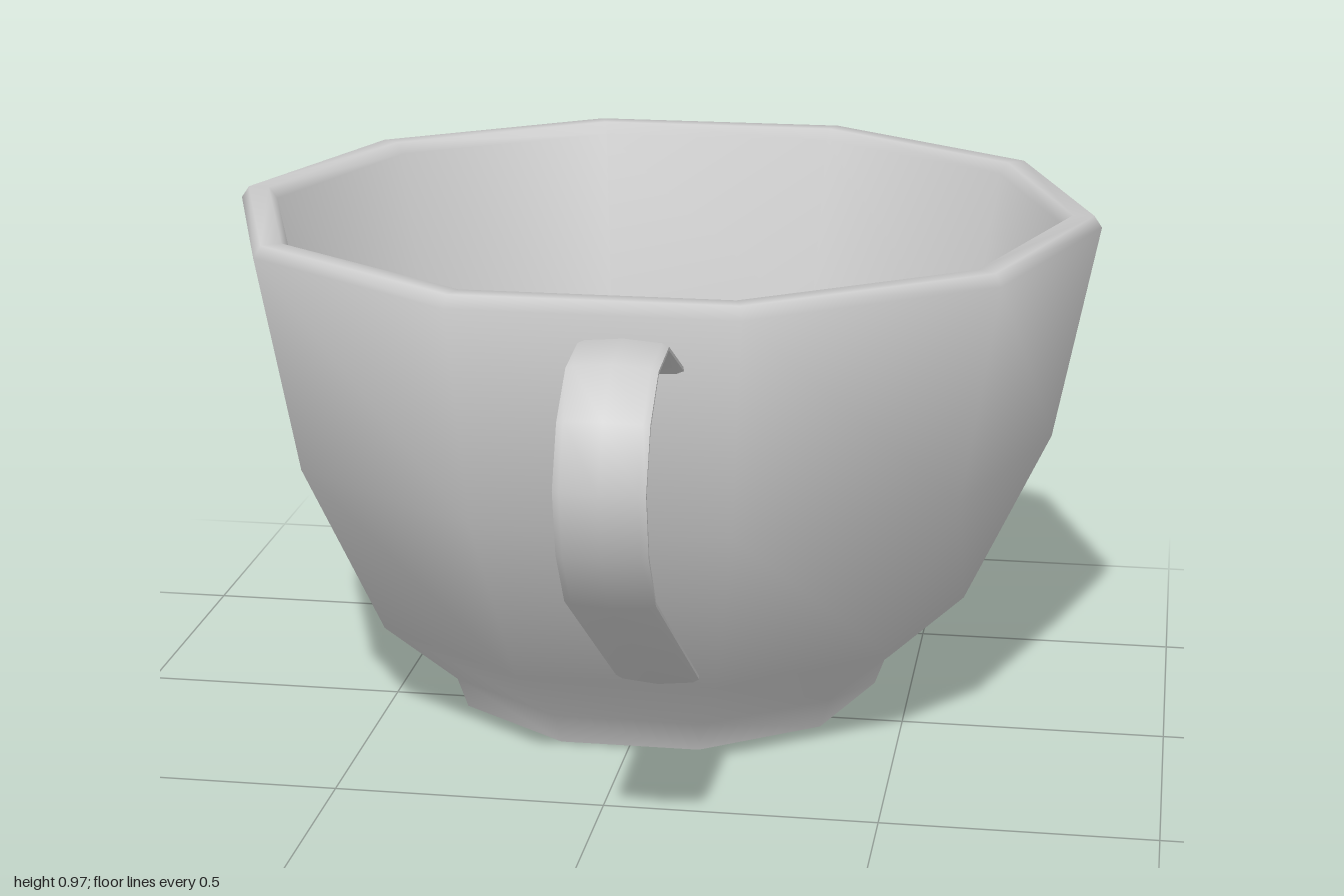
import * as THREE from 'three';
import { toCreasedNormals } from 'three/addons/utils/BufferGeometryUtils.js';

const material = new THREE.MeshStandardMaterial({ color: 0xcccccc });

// Sweep a closed (x, n) section along a (z, y) path with mitred corners.
function sweepRibbon(path, section) {
  const positions = [], index = [], n = section.length;
  const direction = (a, b) => new THREE.Vector2(b[0] - a[0], b[1] - a[1]).normalize();
  path.forEach((p, i) => {
    const before = direction(path[Math.max(i - 1, 0)], path[Math.max(i, 1)]);
    const last = path.length - 1;
    const after = direction(path[Math.min(i, last - 1)], path[Math.min(i + 1, last)]);
    const t = before.clone().add(after).normalize();
    const mitre = 1 / t.dot(before);
    for (const [x, h] of section) {
      positions.push(x, p[1] + t.x * h * mitre, p[0] - t.y * h * mitre);
    }
  });
  for (let i = 0; i < path.length - 1; i++) {
    for (let j = 0; j < n; j++) {
      const a = i * n + j, b = i * n + (j + 1) % n;
      index.push(a, b, a + n, b, b + n, a + n);
    }
  }
  // End caps
  const end = (path.length - 1) * n;
  for (let j = 1; j < n - 1; j++) {
    index.push(0, j + 1, j, end, end + j, end + j + 1);
  }
  const geometry = new THREE.BufferGeometry();
  geometry.setAttribute('position', new THREE.Float32BufferAttribute(positions, 3));
  geometry.setIndex(index);
  return toCreasedNormals(geometry, 0.8);
}

export function createModel() {
  const group = new THREE.Group();

  // Ten-sided bowl: underside, outer wall, bevelled rim, inner wall, floor
  const profile = [
    [0, 0.015], [0.39, 0.015], [0.405, 0], [0.428, 0],
    [0.45, 0.06], [0.6, 0.19], [0.76, 0.53], [0.84, 0.945],
    [0.825, 0.967], [0.785, 0.967], [0.768, 0.945],
    [0.7, 0.55], [0.55, 0.24], [0.4, 0.12], [0, 0.1],
  ].map(([r, y]) => new THREE.Vector2(r, y));
  const lathe = new THREE.LatheGeometry(profile, 10, Math.PI / 2);
  const bowl = new THREE.Mesh(toCreasedNormals(lathe, 1.0), material);
  bowl.name = 'bowl';
  bowl.position.z = -0.2;
  group.add(bowl);

  // Thin ribbon handle with a slightly domed section
  const path = [
    [0.58, 0.85], [0.748, 0.932], [0.858, 0.92], [0.942, 0.853],
    [0.984, 0.75], [0.957, 0.634], [0.883, 0.53], [0.36, 0.2],
  ];
  const section = [
    [-0.065, -0.008], [0, -0.012], [0.065, -0.008], [0.077, -0.003],
    [0.077, 0.003], [0.065, 0.008], [0, 0.013], [-0.065, 0.008],
    [-0.077, 0.003], [-0.077, -0.003],
  ];
  const handle = new THREE.Mesh(sweepRibbon(path, section), material);
  handle.name = 'handle';
  handle.position.x = 0.08;
  group.add(handle);

  return group;
}
